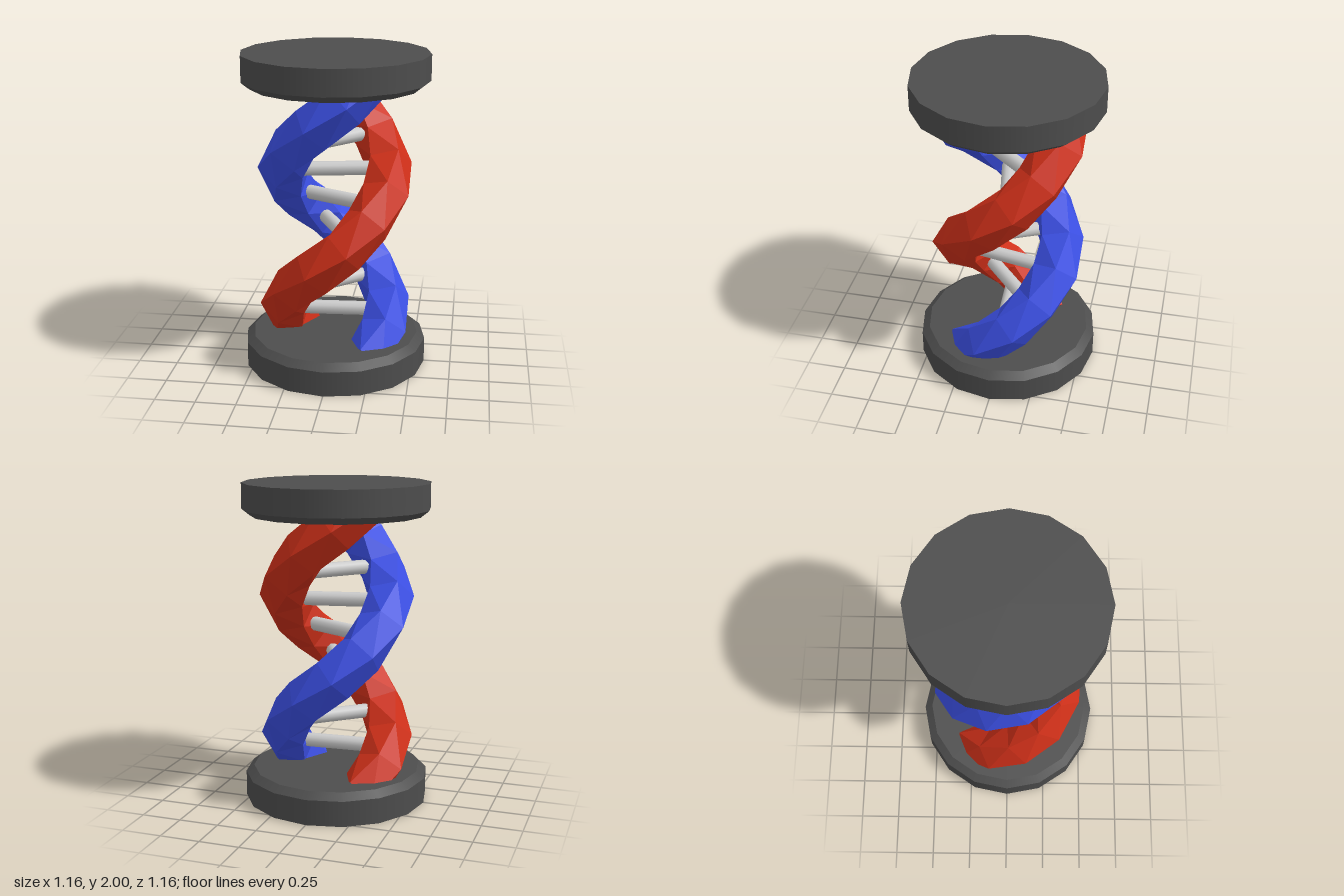
import * as THREE from 'three';

const HELIX_RADIUS = 0.332, STRAND_RADIUS = 0.15, PITCH = 1.8, BOTTOM = 0.1;

const material = (color, flatShading = false) => new THREE.MeshStandardMaterial({ color, flatShading });

// Angle of the first strand around the axis at height y
const angleAt = (y) => Math.PI / 4 - ((y - 1) / PITCH) * Math.PI * 2;

// One full helix turn, swept with a five-sided section that keeps a ridge outward
function strandGeometry(phase) {
  const steps = 12, sides = 5, positions = [], index = [];
  const rise = PITCH / (Math.PI * 2);
  for (let i = 0; i <= steps; i++) {
    const y = BOTTOM + (PITCH * i) / steps;
    const a = angleAt(y) + phase;
    const out = new THREE.Vector3(Math.cos(a), 0, Math.sin(a));
    const tangent = new THREE.Vector3(HELIX_RADIUS * Math.sin(a), rise, -HELIX_RADIUS * Math.cos(a)).normalize();
    const across = tangent.clone().cross(out);
    for (let j = 0; j < sides; j++) {
      const f = (j / sides) * Math.PI * 2;
      const p = out.clone().multiplyScalar(HELIX_RADIUS + STRAND_RADIUS * Math.cos(f))
        .addScaledVector(across, STRAND_RADIUS * Math.sin(f));
      // ends stay hidden inside the discs
      positions.push(p.x, THREE.MathUtils.clamp(p.y + y, 0.03, 1.97), p.z);
      if (i < steps) {
        const k = i * sides + j, n = i * sides + ((j + 1) % sides);
        index.push(k, n, k + sides, n, n + sides, k + sides);
      }
    }
  }
  const last = steps * sides;
  for (let j = 1; j < sides - 1; j++) {
    index.push(0, j + 1, j, last, last + j, last + j + 1);
  }
  const geometry = new THREE.BufferGeometry();
  geometry.setAttribute('position', new THREE.Float32BufferAttribute(positions, 3));
  geometry.setIndex(index);
  geometry.computeVertexNormals();
  return geometry;
}

// Disc with a bevel on its inner rim: a drum plus a short tapered ring
function disc(name, mat) {
  const group = new THREE.Group();
  group.name = name;
  const drum = new THREE.Mesh(new THREE.CylinderGeometry(0.58, 0.58, 0.16, 16), mat);
  drum.name = name + 'Drum';
  drum.position.y = 0.08;
  const bevel = new THREE.Mesh(new THREE.CylinderGeometry(0.53, 0.58, 0.04, 16), mat);
  bevel.name = name + 'Bevel';
  bevel.position.y = 0.18;
  group.add(drum, bevel);
  return group;
}

export function createModel() {
  const model = new THREE.Group();
  model.name = 'doubleHelix';

  // End discs
  const dark = material(0x4d4d4d);
  const base = disc('baseDisc', dark);
  const top = disc('topDisc', dark);
  top.rotation.x = Math.PI;
  top.position.y = 2;
  model.add(base, top);

  // Two strands, half a turn apart
  [['redStrand', 0xd03019, 0], ['blueStrand', 0x3c50e6, Math.PI]].forEach(([name, color, phase]) => {
    const strand = new THREE.Mesh(strandGeometry(phase), material(color, true));
    strand.name = name;
    model.add(strand);
  });

  // Rungs joining the strands
  const rungGeometry = new THREE.CylinderGeometry(0.045, 0.045, HELIX_RADIUS * 2 - 0.04, 10);
  rungGeometry.rotateZ(Math.PI / 2);
  const grey = material(0xcccccc);
  for (let i = 0; i < 8; i++) {
    const rung = new THREE.Mesh(rungGeometry, grey);
    rung.name = 'rung' + (i + 1);
    rung.position.y = 0.996 + (i - 3.5) * 0.187;
    rung.rotation.y = -angleAt(rung.position.y);
    model.add(rung);
  }
  return model;
}
